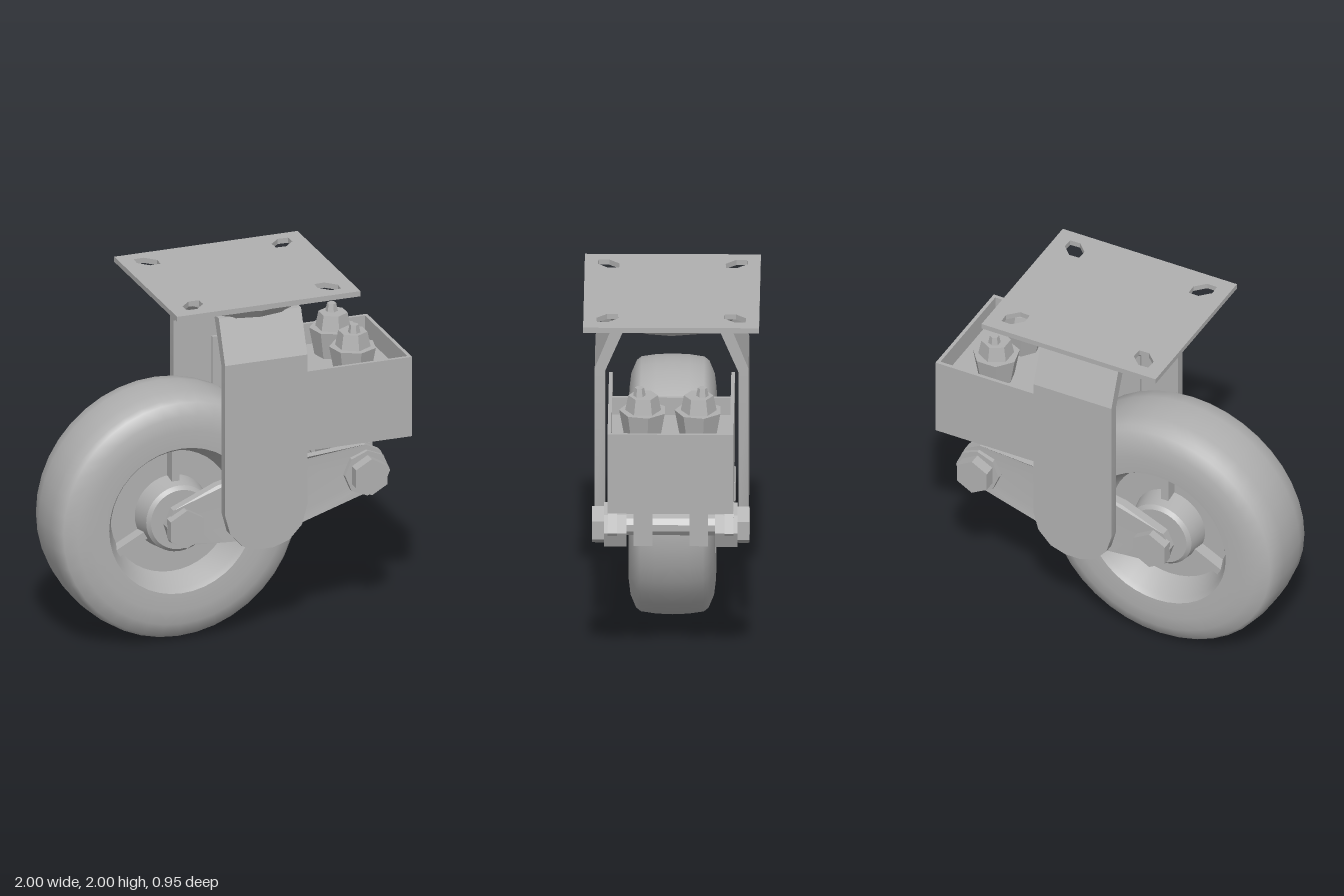
import * as THREE from 'three';
import { toCreasedNormals } from 'three/addons/utils/BufferGeometryUtils.js';

export function createModel() {
  const root = new THREE.Group();
  root.name = 'springCaster';
  const steel = new THREE.MeshStandardMaterial({ color: 0xb0b0b0 });
  steel.name = 'grey steel';

  const add = (name, geo, x = 0, y = 0, z = 0, crease = 0.5) => {
    const m = new THREE.Mesh(toCreasedNormals(geo, crease), steel);
    m.name = name;
    m.position.set(x, y, z);
    root.add(m);
    return m;
  };
  const box = (name, x0, x1, y0, y1, z0, z1) =>
    add(name, new THREE.BoxGeometry(x1 - x0, y1 - y0, z1 - z0), (x0 + x1) / 2, (y0 + y1) / 2, (z0 + z1) / 2);
  const extrude = (pts, depth) => new THREE.ExtrudeGeometry(
    new THREE.Shape(pts.map(p => new THREE.Vector2(...p))), { depth, bevelEnabled: false });
  const lathe = (pts, seg) => new THREE.LatheGeometry(pts.map(p => new THREE.Vector2(...p)), seg);
  // cylinder along z
  const rod = (name, r, z0, z1, x, y, sides = 6) =>
    add(name, new THREE.CylinderGeometry(r, r, Math.abs(z1 - z0), sides).rotateX(Math.PI / 2), x, y, (z0 + z1) / 2);

  // mounting plate with four slanted corner slots
  const cx = 0.12;
  const plate = new THREE.Shape([[-0.41, -0.475], [0.65, -0.475], [0.65, 0.475], [-0.41, 0.475]]
    .map(p => new THREE.Vector2(...p)));
  for (const sx of [-1, 1]) for (const sz of [-1, 1]) {
    const hole = new THREE.Path();
    hole.absellipse(cx + sx * 0.39, sz * 0.345, 0.08, 0.05, 0, Math.PI * 2, true, sx * sz * Math.PI / 4);
    plate.holes.push(new THREE.Path(hole.getPoints(3)));
  }
  add('mountingPlate', new THREE.ExtrudeGeometry(plate, { depth: 0.03, bevelEnabled: false })
    .rotateX(-Math.PI / 2), 0, 1.97, 0);

  // swivel race under the plate
  add('swivelRace', lathe([[0, 1.9], [0.24, 1.89], [0.31, 1.87], [0.35, 1.88], [0.39, 1.93], [0.39, 1.96], [0.3, 1.975], [0, 1.975]], 16),
    cx, 0, 0, 0.3);

  // wheel: tread, side walls, recessed web and hub
  const half = [[0, 0.21], [0.17, 0.21], [0.19, 0.19], [0.21, 0.07], [0.35, 0.07], [0.4, 0.2], [0.42, 0.232],
    [0.52, 0.235], [0.6, 0.225], [0.67, 0.195], [0.69, 0.17], [0.702, 0.09]];
  const profile = [...half.map(([r, h]) => [r, -h]), [0.706, 0], ...half.slice().reverse()];
  const wx = -0.29, wy = 0.71;
  add('wheel', lathe(profile, 40).rotateX(Math.PI / 2), wx, wy, 0, 0.6);
  for (const deg of [90, 208, 332]) {
    const a = deg * Math.PI / 180;
    const rib = add('wheelRib', new THREE.BoxGeometry(0.22, 0.045, 0.28), wx + 0.28 * Math.cos(a), wy + 0.28 * Math.sin(a), 0);
    rib.rotation.z = a;
  }
  rod('axle', 0.05, -0.3, 0.3, wx, wy, 10);

  // outlines shared by both sides
  const legOutline = [[-0.11, 1.65], [-0.11, 0.78], [-0.08, 0.67], [-0.01, 0.59], [0.08, 0.56], [0.17, 0.56],
    [0.26, 0.59], [0.335, 0.67], [0.365, 0.78], [0.365, 1.65]];
  const armOutline = [[-0.37, 0.61], [-0.3, 0.59], [0, 0.575], [0.2, 0.6], [0.37, 0.65], [0.8, 0.79], [0.87, 0.89],
    [0.82, 1.0], [0.73, 1.05], [0.37, 1.02], [0.1, 0.97], [-0.11, 0.91], [-0.36, 0.8], [-0.4, 0.71]];
  const px = 0.735, py = 0.89;

  for (const s of [1, -1]) {
    // fork leg: straight lower part and inward leaning top
    add('forkLeg', extrude(legOutline, 0.055), 0, 0, s > 0 ? 0.36 : -0.415);
    add('forkShoulder', extrude([[0.415 * s, 1.65], [0.32 * s, 1.89], [0.25 * s, 1.89], [0.36 * s, 1.63]], 0.475)
      .rotateY(-Math.PI / 2), 0.365, 0, 0);

    // swing arm, splayed outward toward the pivot
    const arm = extrude(armOutline, 0.05).translate(0, 0, s > 0 ? 0.24 : -0.29);
    const p = arm.attributes.position;
    for (let i = 0; i < p.count; i++)
      p.setZ(i, p.getZ(i) + s * 0.05 * THREE.MathUtils.clamp((p.getX(i) + 0.1) / 0.5, 0, 1));
    arm.computeVertexNormals();
    add('swingArm', arm);

    // axle and pivot bolts
    rod('axleBolt', 0.11, s * 0.28, s * 0.34, wx - 0.01, 0.7);
    rod('pivotBoss', 0.13, s * 0.24, s * 0.36, px, py, 8);
    rod('pivotBolt', 0.105, s * 0.34, s * 0.425, px, py);

    // spring seat, spring rod, flared washer and nut
    const z = s * 0.15;
    box('springSeat', px - 0.09, px + 0.09, 0.8, 1.0, z - 0.05, z + 0.05);
    add('springRod', new THREE.CylinderGeometry(0.05, 0.05, 0.6, 8), 0.73, 1.25, z);
    add('washer', new THREE.CylinderGeometry(0.13, 0.1, 0.16, 7), 0.73, 1.475, z, 0.2);
    add('nut', new THREE.CylinderGeometry(0.08, 0.1, 0.1, 6), 0.73, 1.59, z, 0.2);
    add('rodTip', new THREE.CylinderGeometry(0.025, 0.035, 0.05, 6), 0.73, 1.66, z + s * 0.02, 0.2);

    // housing side wall
    box('housingSide', 0.1, 1.0, 1.06, 1.52, s > 0 ? 0.32 : -0.34, s > 0 ? 0.34 : -0.32);
  }

  // pivot cross tube and bridge between the arms
  rod('pivotTube', 0.06, -0.3, 0.3, px, py, 10);
  box('armBridge', 0.55, 0.76, 0.97, 1.04, -0.28, 0.28);

  // spring housing: end, inner wall, floor and sunken deck
  box('housingEnd', 0.98, 1.0, 1.06, 1.52, -0.34, 0.34);
  box('housingInnerWall', 0.4, 0.42, 1.06, 1.5, -0.33, 0.33);
  box('housingFloor', 0.4, 0.99, 1.065, 1.085, -0.33, 0.33);
  box('housingDeck', 0.4, 0.99, 1.38, 1.4, -0.33, 0.33);

  return root;
}
